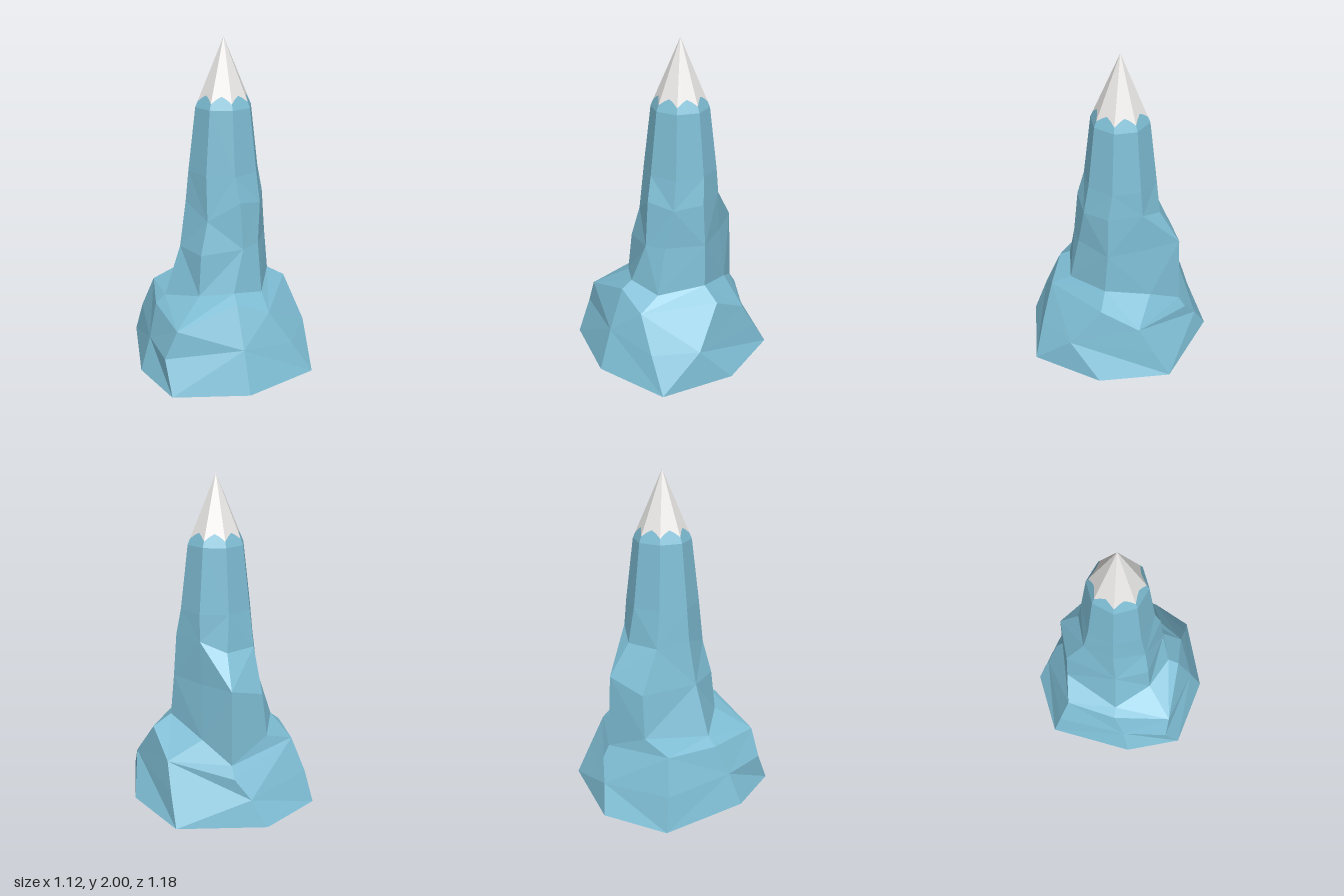
import * as THREE from 'three';

const apex = new THREE.Vector3(0.02, 2, -0.02);
const ring = (pts) => pts.map((p) => new THREE.Vector3(...p));

// Eight-sided rings as [x, y, z], starting at +x and turning towards +z
const base = ring([[0.555, 0, 0], [0.445, 0, 0.45], [-0.01, 0, 0.59], [-0.45, 0, 0.47],
  [-0.56, 0, 0.12], [-0.48, 0, -0.42], [-0.1, 0, -0.59], [0.415, 0, -0.425]]);
const flank = ring([[0.485, 0.23, 0.2], [0.31, 0.21, 0.43], [-0.02, 0.25, 0.5], [-0.465, 0.2, 0.37],
  [-0.49, 0.2, 0.08], [-0.44, 0.2, -0.37], [-0.02, 0.16, -0.525], [0.41, 0.17, -0.32]]);
const shoulder = ring([[0.42, 0.47, 0.015], [0.17, 0.42, 0.4], [-0.03, 0.5, 0.395], [-0.39, 0.37, 0.375],
  [-0.43, 0.39, 0.01], [-0.37, 0.41, -0.31], [0.065, 0.28, -0.465], [0.4, 0.34, -0.22]]);
const foot = ring([[0.305, 0.54, 0.015], [0.17, 0.5, 0.27], [-0.025, 0.54, 0.325], [-0.21, 0.5, 0.22],
  [-0.37, 0.44, 0.01], [-0.19, 0.47, -0.34], [0.065, 0.35, -0.42], [0.19, 0.46, -0.25]]);
const waist = ring([[0.285, 0.8, 0], [0.165, 0.8, 0.21], [0.05, 0.79, 0.268], [-0.19, 0.75, 0.2],
  [-0.265, 0.75, 0], [-0.16, 0.74, -0.33], [0.06, 0.81, -0.4], [0.175, 0.8, -0.21]]);
const chest = ring([[0.265, 1.06, 0], [0.19, 1.04, 0.165], [0.04, 1.07, 0.24], [-0.14, 0.95, 0.17],
  [-0.22, 1.03, -0.02], [-0.15, 1.0, -0.21], [0.04, 1.0, -0.27], [0.18, 1.06, -0.19]]);

// Regular octagon around the spire axis
function octagon(y, r) {
  return Array.from({ length: 8 }, (_, i) => {
    const a = i * Math.PI / 4;
    return new THREE.Vector3(apex.x + r * Math.cos(a), y, apex.z + r * Math.sin(a));
  });
}

// Splits each side of a ring into four
function divide(points) {
  return points.flatMap((p, i) =>
    [0, 0.25, 0.5, 0.75].map((t) => p.clone().lerp(points[(i + 1) % points.length], t)));
}

// Separate flat triangles between consecutive rings
function skin(rings) {
  const tris = [];
  for (let k = 0; k < rings.length - 1; k++) {
    const low = rings[k], up = rings[k + 1], n = low.length;
    for (let i = 0; i < n; i++) {
      const j = (i + 1) % n;
      const a = low[i], b = low[j], c = up[j], d = up[i];
      if ((i + k) % 2 === 0) tris.push(a, d, b, d, c, b);
      else tris.push(a, d, c, a, c, b);
    }
  }
  return tris;
}

// Triangles from a ring up to a point
function fan(points, tip) {
  return points.flatMap((p, i) => [p, tip, points[(i + 1) % points.length]]);
}

function mesh(name, tris, material) {
  const geometry = new THREE.BufferGeometry().setFromPoints(tris);
  geometry.computeVertexNormals();
  const m = new THREE.Mesh(geometry, material);
  m.name = name;
  return m;
}

export function createModel() {
  // The rock is a shell, open underneath
  const rock = new THREE.MeshStandardMaterial({ color: 0x7ebdd4, side: THREE.DoubleSide });
  rock.name = 'blue rock';
  const snow = new THREE.MeshStandardMaterial({ color: 0xe6e5e3 });
  snow.name = 'pale snow';

  const neck = octagon(1.6, 0.173);
  const rim = divide(neck);
  // Wavy snow line, dipping at the corners of the peak
  const wave = [1.635, 1.66, 1.675, 1.66];
  const snowLine = rim.map((p, i) => p.clone().lerp(apex, (wave[i % 4] - 1.6) / 0.4));

  const group = new THREE.Group();
  group.name = 'rockSpire';
  group.add(
    mesh('boulderBase', skin([base, flank, shoulder, foot]), rock),
    mesh('spire', skin([foot, waist, chest, octagon(1.22, 0.22), neck]), rock),
    mesh('peakCollar', skin([rim, snowLine]), rock),
    mesh('snowCap', fan(snowLine, apex), snow),
  );
  return group;
}
